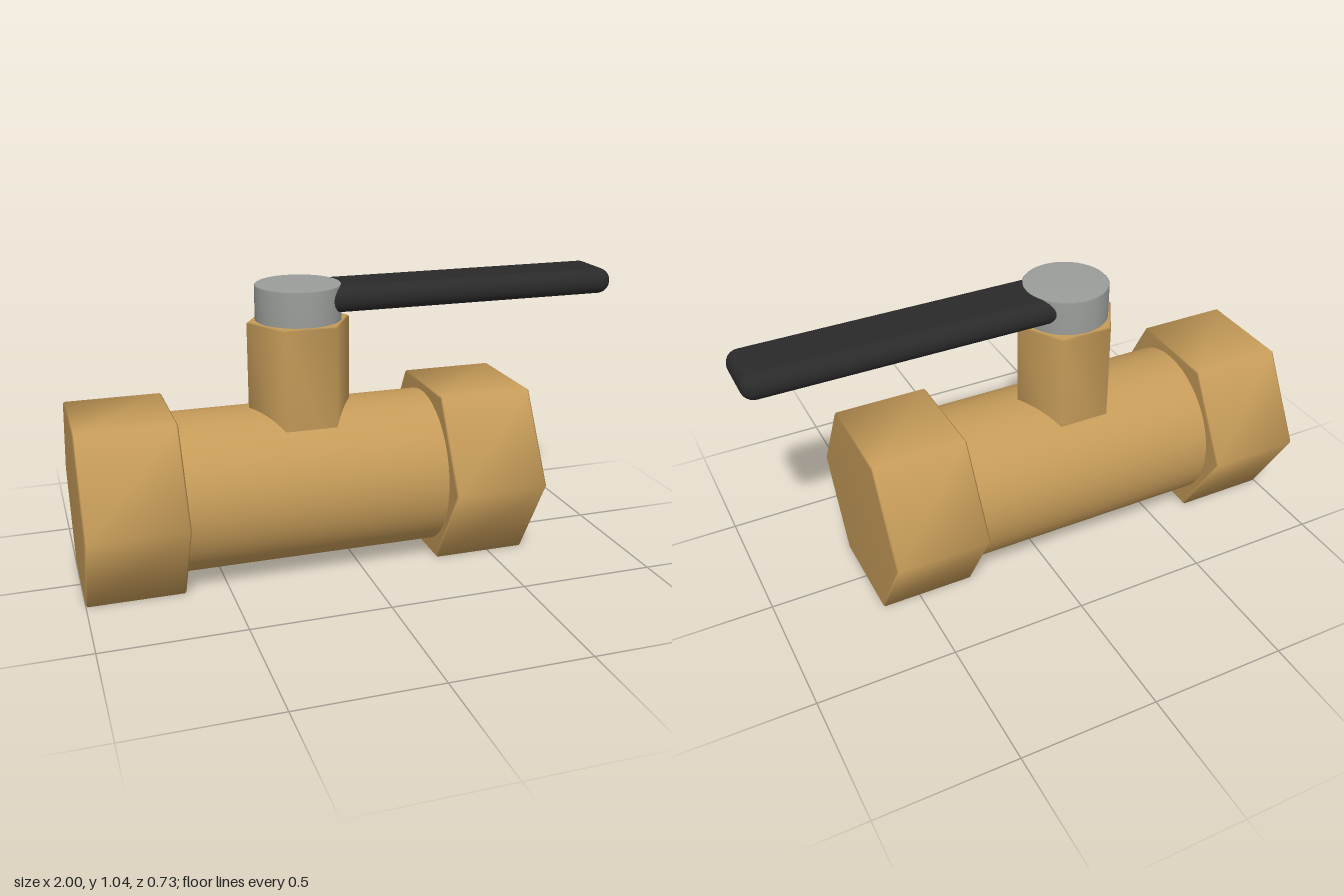
import * as THREE from 'three';
import { mergeVertices } from 'three/addons/utils/BufferGeometryUtils.js';
import { RoundedBoxGeometry } from 'three/addons/geometries/RoundedBoxGeometry.js';

const material = (name, color) => {
  const m = new THREE.MeshStandardMaterial({ color });
  m.name = name;
  return m;
};

// Solid upright prism with slightly eased rims and soft shading across its edges
function prism(radius, sides, length, ease = 0.006) {
  const profile = [
    [0, 0], [radius - ease, 0], [radius, ease],
    [radius, length - ease], [radius - ease, length], [0, length],
  ].map(([x, y]) => new THREE.Vector2(x, y));
  let geometry = new THREE.LatheGeometry(profile, sides);
  geometry.deleteAttribute('uv');
  geometry.deleteAttribute('normal');
  geometry = mergeVertices(geometry, 1e-4);
  geometry.computeVertexNormals();
  return geometry;
}

export function createModel() {
  const group = new THREE.Group();
  group.name = 'ballValve';
  const brass = material('brass', 0xc49a58);
  const steel = material('steel', 0x9a9d9a);
  const black = material('blackGrip', 0x2a2a2a);

  const axisY = 0.315;
  const stemX = -0.182;
  const add = (name, geometry, mat, x, y) => {
    const mesh = new THREE.Mesh(geometry, mat);
    mesh.name = name;
    mesh.position.set(x, y, 0);
    group.add(mesh);
  };

  // Pipe body and the hexagonal nut at each end
  add('pipeBody', new THREE.CylinderGeometry(0.287, 0.287, 1.0, 64, 1, true).rotateZ(-Math.PI / 2),
    brass, -0.18, axisY);
  for (const [name, x] of [['rightNut', -1], ['leftNut', 0.292]]) {
    add(name, prism(0.363, 6, 0.348).rotateZ(-Math.PI / 2), brass, x, axisY);
  }

  // Hexagonal stem housing, corners along the pipe
  add('stemHousing', prism(0.187, 6, 0.515).rotateY(Math.PI / 2), brass, stemX, 0.4);

  // Round cap on the stem
  add('stemCap', prism(0.153, 48, 0.16, 0.004), steel, stemX, 0.88);

  // Lever with fully rounded edges, rooted in the cap
  const start = -0.15, end = 1;
  add('lever', new RoundedBoxGeometry(end - start, 0.094, 0.234, 6, 0.046), black,
    (start + end) / 2, 0.991);

  return group;
}
